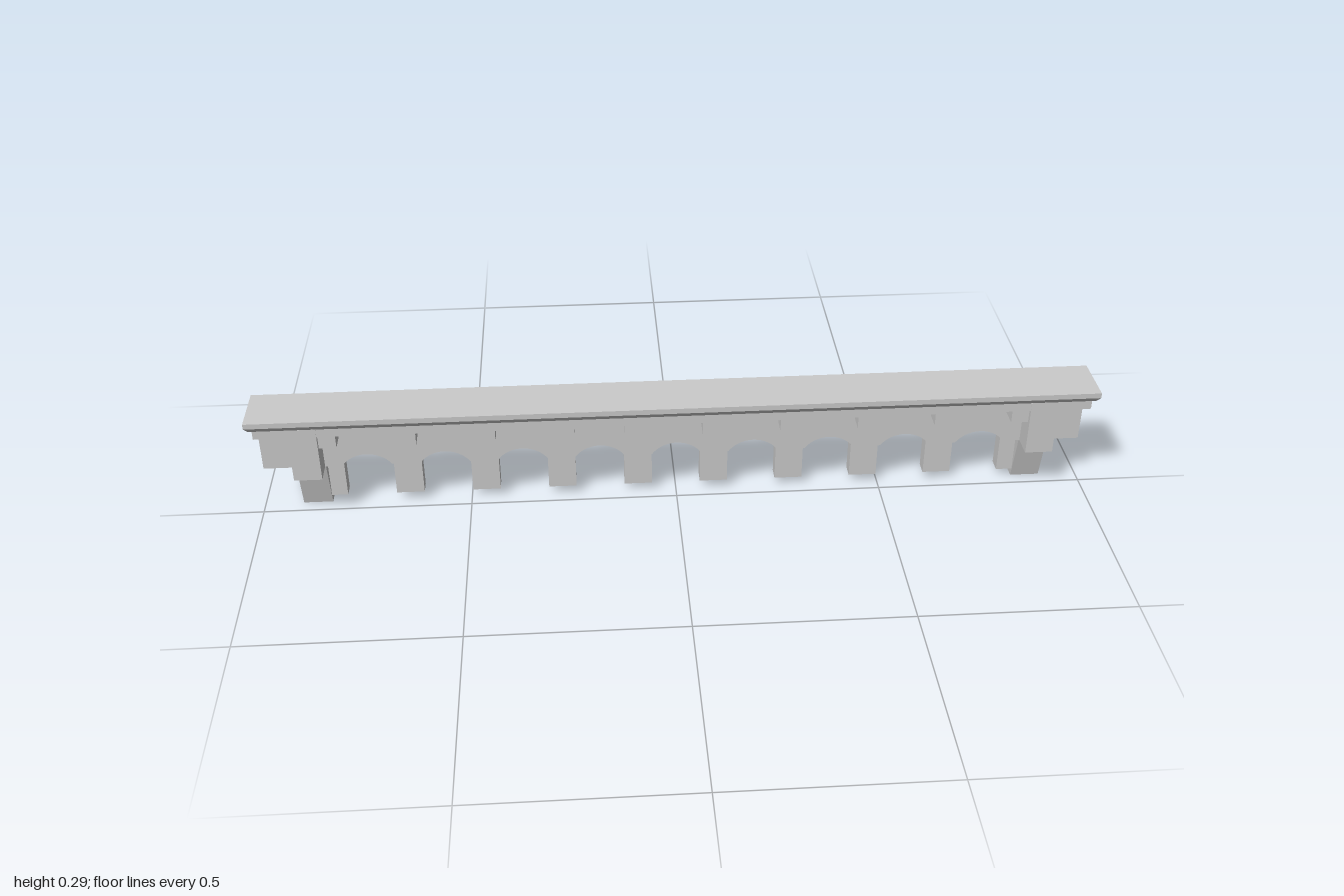
import * as THREE from 'three';

const material = new THREE.MeshStandardMaterial({ color: 0xcccccc, flatShading: true });
const BACK = -0.065, WALL_FRONT = -0.005, FRONT = 0.05;
const PITCH = 0.185, PIER_W = 0.067, SPRING = 0.122, RISE = 0.03;

export function createModel() {
  const model = new THREE.Group();

  const add = (name, geometry) => {
    const mesh = new THREE.Mesh(geometry, material);
    mesh.name = name;
    model.add(mesh);
  };

  // Box given by its limits on each axis
  const box = (x0, x1, y0, y1, z0, z1) =>
    new THREE.BoxGeometry(x1 - x0, y1 - y0, z1 - z0)
      .translate((x0 + x1) / 2, (y0 + y1) / 2, (z0 + z1) / 2);

  // Wall with nine shallow arches along its lower edge
  const half = (PITCH - PIER_W) / 2;
  const radius = (half * half + RISE * RISE) / (2 * RISE);
  const sweep = Math.asin(half / radius);
  const wall = new THREE.Shape();
  wall.moveTo(-0.985, 0.265);
  wall.lineTo(-0.985, SPRING);
  for (let i = -4; i <= 4; i++) {
    wall.lineTo(i * PITCH - half, SPRING);
    wall.absarc(i * PITCH, SPRING + RISE - radius, radius,
      Math.PI / 2 + sweep, Math.PI / 2 - sweep, true);
  }
  wall.lineTo(0.985, SPRING);
  wall.lineTo(0.985, 0.265);
  add('archedWall', new THREE.ExtrudeGeometry(wall,
    { depth: WALL_FRONT - BACK, bevelEnabled: false, curveSegments: 12 }).translate(0, 0, BACK));

  // Recessed piers below and projecting dentils above, one per arch joint
  for (let i = 0; i < 10; i++) {
    const x = (i - 4.5) * PITCH, w = PIER_W / 2;
    add('pier', box(x - w, x + w, 0.021, SPRING, BACK, -0.03));
    add('dentil', box(x - w, x + w, 0.203, 0.241, WALL_FRONT, 0.04));
  }

  // Band beneath the cornice
  add('band', box(-0.985, 0.985, 0.24, 0.266, WALL_FRONT, FRONT));

  // Cornice slab, chamfered underneath at the front and both ends
  add('corniceSlab', box(-1, 1, 0.278, 0.291, BACK, 0.065));
  const chamfer = box(-1, 1, 0.266, 0.278, BACK, 0.065);
  const p = chamfer.attributes.position;
  for (let i = 0; i < p.count; i++) {
    if (p.getY(i) > 0.27) continue;
    p.setX(i, p.getX(i) - Math.sign(p.getX(i)) * 0.008);
    if (p.getZ(i) > 0) p.setZ(i, 0.057);
  }
  chamfer.computeVertexNormals();
  add('corniceChamfer', chamfer);

  // End pilasters, each standing on a foot that tapers back
  const foot = new THREE.Shape([
    new THREE.Vector2(-BACK, 0), new THREE.Vector2(-BACK, SPRING),
    new THREE.Vector2(-WALL_FRONT, SPRING), new THREE.Vector2(0.033, 0),
  ]);
  for (const side of [-1, 1]) {
    const x = side * 0.873;
    add('pilaster', box(x - 0.033, x + 0.033, SPRING, 0.262, WALL_FRONT, FRONT + 0.001));
    add('pilasterFoot', new THREE.ExtrudeGeometry(foot, { depth: 0.07, bevelEnabled: false })
      .rotateY(Math.PI / 2).translate(x - 0.035, 0, 0));
  }

  return model;
}
